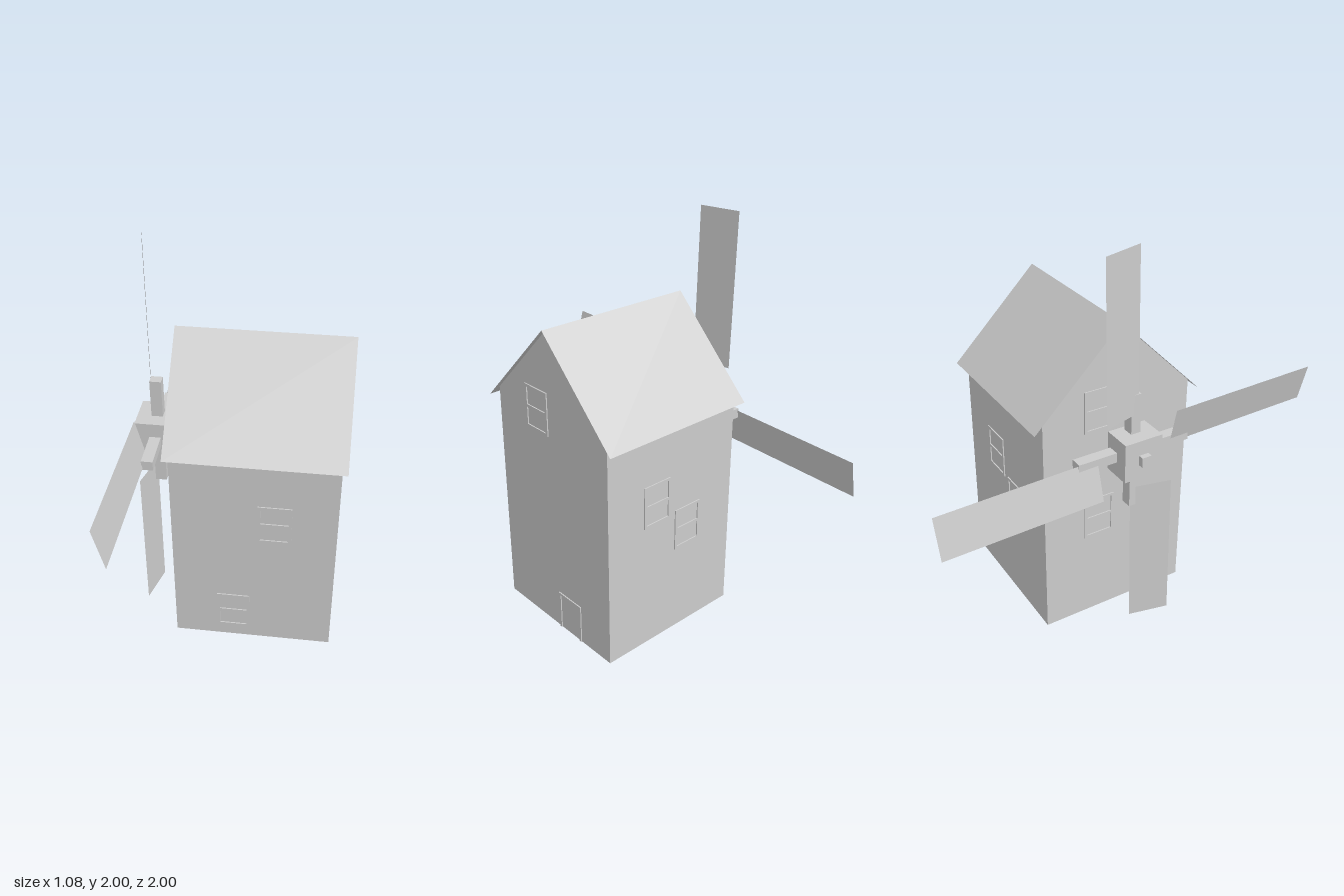
import * as THREE from 'three';

export function createModel() {
  const root = new THREE.Group();
  const mat = new THREE.MeshStandardMaterial({ color: 0xcccccc, side: THREE.DoubleSide, flatShading: true });

  const add = (parent, name, geo, x = 0, y = 0, z = 0) => {
    const m = new THREE.Mesh(geo, mat);
    m.name = name;
    m.position.set(x, y, z);
    parent.add(m);
    return m;
  };
  const box = (parent, name, w, h, d, x, y, z) => add(parent, name, new THREE.BoxGeometry(w, h, d), x, y, z);
  const group = (name, parent = root) => {
    const g = new THREE.Group();
    g.name = name;
    parent.add(g);
    return g;
  };

  // House shell: thin walls, open underneath
  const X0 = -0.29, X1 = 0.51, HALF = 0.4, EAVE = 1.2, RIDGE = 1.6;
  const midX = (X0 + X1) / 2;
  const house = group('house');
  const gable = new THREE.Shape([
    [-HALF, 0], [HALF, 0], [HALF, EAVE], [0, RIDGE], [-HALF, EAVE],
  ].map(p => new THREE.Vector2(...p)));
  add(house, 'gableWallLeft', new THREE.ShapeGeometry(gable), X1, 0, 0).rotation.y = Math.PI / 2;
  add(house, 'gableWallRight', new THREE.ShapeGeometry(gable), X0, 0, 0).rotation.y = -Math.PI / 2;
  add(house, 'frontWall', new THREE.PlaneGeometry(X1 - X0, EAVE), midX, EAVE / 2, HALF);
  add(house, 'backWall', new THREE.PlaneGeometry(X1 - X0, EAVE), midX, EAVE / 2, -HALF).rotation.y = Math.PI;

  // Roof: two thin 45 degree slopes overhanging the walls
  const roof = group('roof');
  const overhang = 0.45;
  for (const s of [1, -1]) {
    const slope = new THREE.PlaneGeometry(0.845, overhang * Math.SQRT2);
    slope.rotateX(-Math.PI / 4);
    if (s < 0) slope.rotateY(Math.PI);
    add(roof, 'roofSlope', slope, 0.1125, RIDGE - overhang / 2 + 0.001, s * overhang / 2);
  }

  // Window and door frames, built facing +z and turned onto their wall
  const BAR = 0.014, DEPTH = 0.012;
  const frame = (name, w, h, x, y, z, turn, isDoor) => {
    const g = group(name);
    for (const s of [-1, 1]) {
      box(g, 'frameSide', BAR, h, DEPTH, s * (w - BAR) / 2, 0, 0);
      if (!isDoor || s > 0) box(g, 'frameRail', w - 2 * BAR, BAR, DEPTH, 0, s * (h - BAR) / 2, 0);
    }
    if (!isDoor) box(g, 'crossbar', w - 2 * BAR, BAR, DEPTH, 0, 0, 0);
    g.position.set(x, y, z);
    g.rotation.y = turn;
  };
  const quarter = Math.PI / 2;
  [
    [0.21, 0.78, HALF, 0], [0.01, 0.18, HALF, 0],
    [0.21, 0.78, -HALF, Math.PI], [0.01, 0.58, -HALF, Math.PI],
    [X1, 1.18, 0.1, quarter],
    [X0, 1.18, -0.1, -quarter], [X0, 0.58, -0.1, -quarter],
  ].forEach(([x, y, z, turn]) => frame('window', 0.165, 0.22, x, y, z, turn, false));
  frame('door', 0.17, 0.21, X1, 0.105, -0.1, quarter, true);

  // Stairs inside, along the windmill-side wall
  const stairs = group('stairs');
  const STEP = 0.02;
  for (let i = 0; i < 20; i++) {
    box(stairs, 'step', 0.19, STEP, STEP, X0 + 0.1, (i + 0.5) * STEP, -(i + 0.5) * STEP);
  }

  // Windmill: shaft, hub and four arms with pitched sails
  const mill = group('windmill');
  box(mill, 'shaft', 0.25, 0.05, 0.05, -0.415, 1, 0);
  box(mill, 'hub', 0.148, 0.2, 0.2, -0.439, 1, 0);
  for (let i = 0; i < 4; i++) {
    const g = group('sailArm', mill);
    g.position.y = 1;
    g.rotation.x = i * quarter;
    box(g, 'arm', 0.057, 0.22, 0.05, -0.4145, 0.19, 0);
    // Sail sheet: corners as x, radius, z
    const sail = new THREE.BufferGeometry();
    sail.setAttribute('position', new THREE.Float32BufferAttribute([
      -0.436, 0.2, 0.018, -0.436, 1, 0, -0.487, 0.995, -0.2, -0.487, 0.195, -0.182,
    ], 3));
    sail.setIndex([0, 1, 2, 0, 2, 3]);
    sail.computeVertexNormals();
    add(g, 'sail', sail);
  }

  return root;
}
